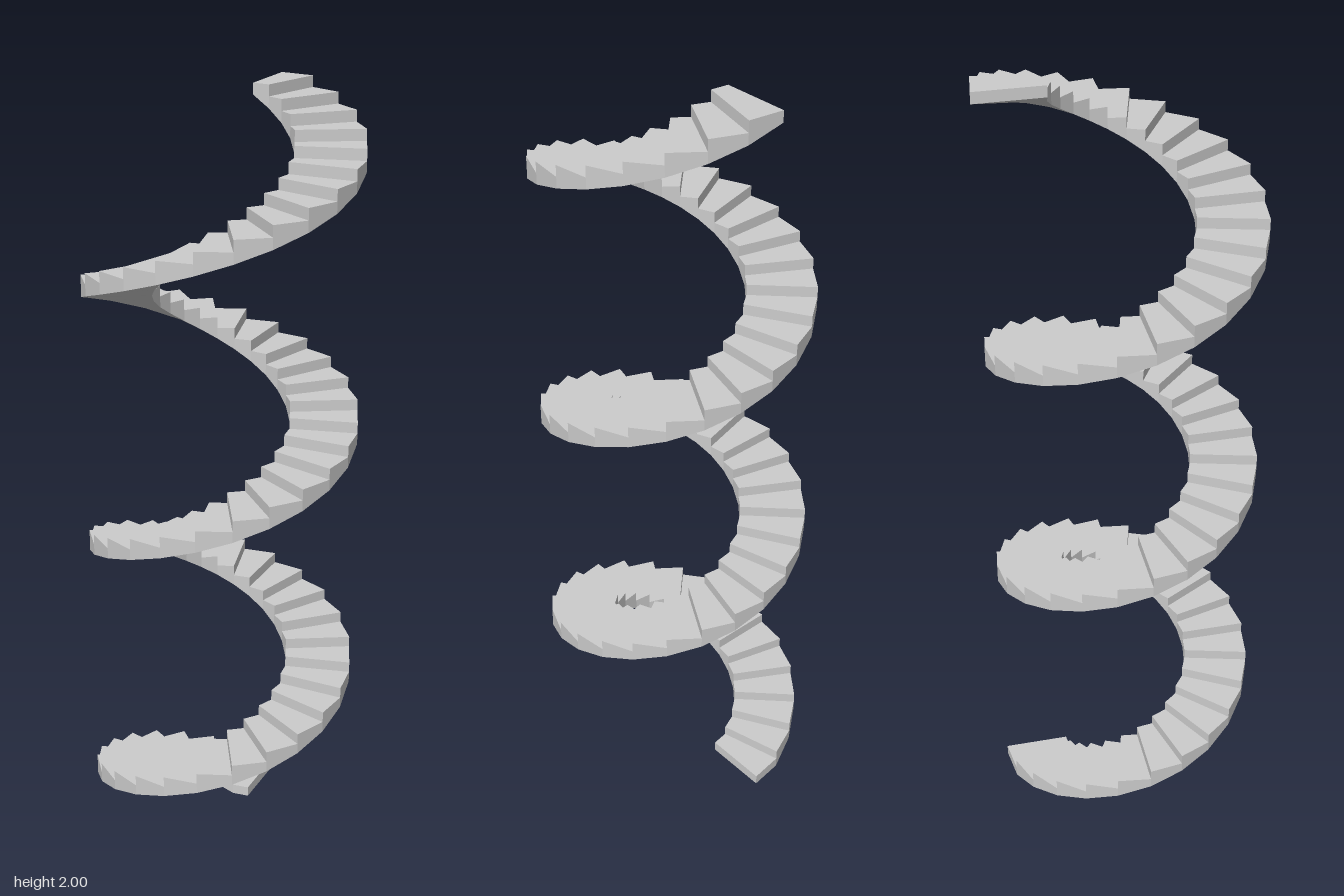
import * as THREE from 'three';

const STEPS = 72;               // three full turns
const PER_TURN = 24;
const RISE = 2 / STEPS;
const OUTER = 0.3362;
const INNER = 0.1681;

// Point on the spiral: s counts steps from the foot, which starts at the back
function point(radius, s, y) {
  const a = Math.PI / 8 - (s * Math.PI * 2) / PER_TURN;
  return [radius * Math.sin(a), y, -radius * Math.cos(a)];
}

// One wedge step: flat tread, riser, side walls and a sloping underside
function stepGeometry(k) {
  const top = (k + 1) * RISE;
  const lowStart = Math.max(0, (k - 1) * RISE);
  const lowEnd = k * RISE;
  const inner = (s, y) => point(INNER, s, y);
  const outer = (s, y) => point(OUTER, s, y);
  const e = k + 1;

  const quads = [
    // riser
    [inner(k, k * RISE), outer(k, k * RISE), outer(k, top), inner(k, top)],
    // tread
    [inner(k, top), outer(k, top), outer(e, top), inner(e, top)],
    // outer wall
    [outer(k, lowStart), outer(e, lowEnd), outer(e, top), outer(k, top)],
    // inner wall
    [inner(e, lowEnd), inner(k, lowStart), inner(k, top), inner(e, top)],
    // underside
    [inner(k, lowStart), inner(e, lowEnd), outer(e, lowEnd), outer(k, lowStart)],
  ];
  // end face closing the top of the flight
  if (k === STEPS - 1) {
    quads.push([outer(e, lowEnd), inner(e, lowEnd), inner(e, top), outer(e, top)]);
  }

  const positions = [];
  for (const [a, b, c, d] of quads) positions.push(...a, ...b, ...c, ...a, ...c, ...d);
  const geometry = new THREE.BufferGeometry();
  geometry.setAttribute('position', new THREE.Float32BufferAttribute(positions, 3));
  geometry.computeVertexNormals();
  return geometry;
}

export function createModel() {
  const group = new THREE.Group();
  group.name = 'spiralStaircase';
  const stone = new THREE.MeshStandardMaterial({ color: 0xcccccc });
  stone.name = 'light grey';

  for (let k = 0; k < STEPS; k++) {
    const step = new THREE.Mesh(stepGeometry(k), stone);
    step.name = `step${k + 1}`;
    group.add(step);
  }
  return group;
}
